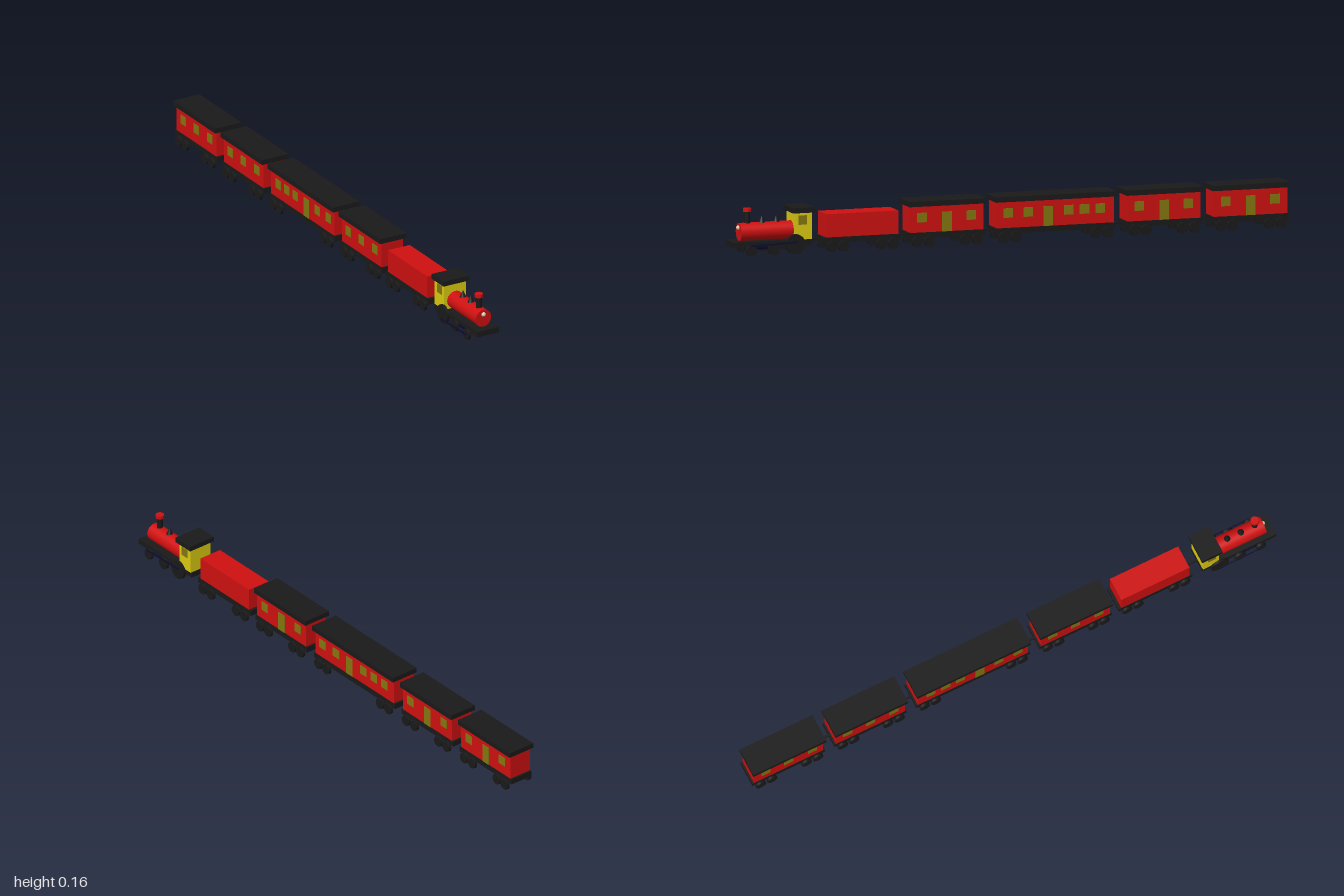
import * as THREE from 'three';

const mat = (color) => new THREE.MeshStandardMaterial({ color });
const RED = mat(0xd01010), YELLOW = mat(0xddcc10), BLACK = mat(0x1a1a1a);
const GLASS = mat(0x85780f), NAVY = mat(0x0c0c30), LAMP = mat(0xd8d4b0);

function add(parent, name, geometry, material, x = 0, y = 0, z = 0) {
  const mesh = new THREE.Mesh(geometry, material);
  mesh.name = name;
  mesh.position.set(x, y, z);
  parent.add(mesh);
  return mesh;
}

// Box given by its width, y range and z range
function block(parent, name, material, width, y0, y1, z0, z1, x = 0) {
  return add(parent, name, new THREE.BoxGeometry(width, y1 - y0, z1 - z0), material,
    x, (y0 + y1) / 2, (z0 + z1) / 2);
}

// Pair of wheels on an axle, standing on the ground
function wheelset(parent, z, r) {
  for (const side of [-1, 1]) {
    const wheel = new THREE.CylinderGeometry(r, r, 0.01, 24).rotateZ(Math.PI / 2);
    add(parent, 'wheel', wheel, BLACK, side * 0.0475, r, z);
  }
  add(parent, 'axle', new THREE.CylinderGeometry(0.004, 0.004, 0.09, 10).rotateZ(Math.PI / 2), BLACK, 0, r, z);
}

// Underframe with four axles, grouped in pairs near each end
function chassis(car, length) {
  const h = length / 2;
  block(car, 'underframe', BLACK, 0.088, 0.03, 0.05, -h, h);
  for (const s of [-1, 1]) {
    wheelset(car, s * (h - 0.03), 0.019);
    wheelset(car, s * (h - 0.073), 0.019);
  }
}

function pane(car, name, side, z, y0, y1) {
  block(car, name, GLASS, 0.002, y0, y1, z - 0.017, z + 0.017, side * 0.0435);
}

// Roofed coach; each side lists its windows and door along z
function coach(name, z, length, sides) {
  const car = new THREE.Group();
  car.name = name;
  car.position.z = z;
  const h = length / 2;
  chassis(car, length);
  block(car, 'coachBody', RED, 0.086, 0.05, 0.14, -h + 0.007, h - 0.007);
  block(car, 'coachRoof', BLACK, 0.104, 0.14, 0.158, -h, h);
  for (const { side, windows, door } of sides) {
    for (const w of windows) pane(car, 'window', side, w, 0.085, 0.118);
    if (door !== undefined) pane(car, 'door', side, door, 0.05, 0.118);
  }
  return car;
}

function tender() {
  const car = new THREE.Group();
  car.name = 'tender';
  car.position.z = 0.538;
  chassis(car, 0.282);
  block(car, 'tenderBox', RED, 0.086, 0.05, 0.13, -0.13, 0.13);
  return car;
}

function locomotive() {
  const g = new THREE.Group();
  g.name = 'locomotive';
  block(g, 'footplate', BLACK, 0.084, 0.028, 0.048, 0.717, 1);

  // Boiler with its fittings
  add(g, 'boiler', new THREE.CylinderGeometry(0.031, 0.031, 0.19, 32).rotateX(Math.PI / 2), RED, 0, 0.078, 0.873);
  add(g, 'headlamp', new THREE.SphereGeometry(0.008, 16, 12), LAMP, 0, 0.093, 0.969);
  add(g, 'chimney', new THREE.CylinderGeometry(0.01, 0.01, 0.05, 20), BLACK, 0, 0.125, 0.938);
  add(g, 'chimneyCap', new THREE.CylinderGeometry(0.0145, 0.0145, 0.012, 20), RED, 0, 0.153, 0.938);
  for (const z of [0.885, 0.833])
    add(g, 'steamDome', new THREE.ConeGeometry(0.014, 0.03, 20), BLACK, 0, 0.117, z);

  // Cab
  block(g, 'cab', YELLOW, 0.088, 0.048, 0.14, 0.719, 0.78);
  block(g, 'cabRoof', BLACK, 0.104, 0.14, 0.158, 0.712, 0.79);
  for (const side of [-1, 1])
    block(g, 'cabWindow', GLASS, 0.002, 0.099, 0.131, 0.737, 0.768, side * 0.0442);

  // Running gear: rods sit at opposite phases on the two sides
  wheelset(g, 0.938, 0.019);
  wheelset(g, 0.858, 0.021);
  wheelset(g, 0.78, 0.034);
  for (const side of [-1, 1]) {
    const y = side < 0 ? 0.018 : 0.038;
    const rod = block(g, 'couplingRod', NAVY, 0.003, y - 0.003, y + 0.003, 0.775, 0.945, side * 0.0535);
    rod.rotation.x = side * 0.03;
    const drum = new THREE.CylinderGeometry(0.01, 0.01, 0.05, 16).rotateX(Math.PI / 2);
    add(g, 'pistonCylinder', drum, NAVY, side * 0.034, 0.03, 0.9);
  }
  return g;
}

export function createModel() {
  const train = new THREE.Group();
  train.name = 'train';
  train.add(locomotive(), tender());

  // Short coaches: three windows on the right, a central door on the left
  const short = [
    { side: -1, windows: [-0.087, 0, 0.09] },
    { side: 1, windows: [-0.087, 0.09], door: 0 },
  ];
  const long = [-1, 1].map((side) => (
    { side, windows: [0.171, 0.099, -0.048, -0.104, -0.16], door: 0.027 }));
  train.add(
    coach('frontCoach', 0.233, 0.276, short),
    coach('longCoach', -0.158, 0.434, long),
    coach('middleCoach', -0.549, 0.276, short),
    coach('rearCoach', -0.861, 0.278, short));

  // Drawbars between the vehicles
  for (const z of [0.698, 0.383, 0.077, -0.393, -0.704])
    block(train, 'coupling', BLACK, 0.008, 0.036, 0.044, z - 0.03, z + 0.03);
  return train;
}
